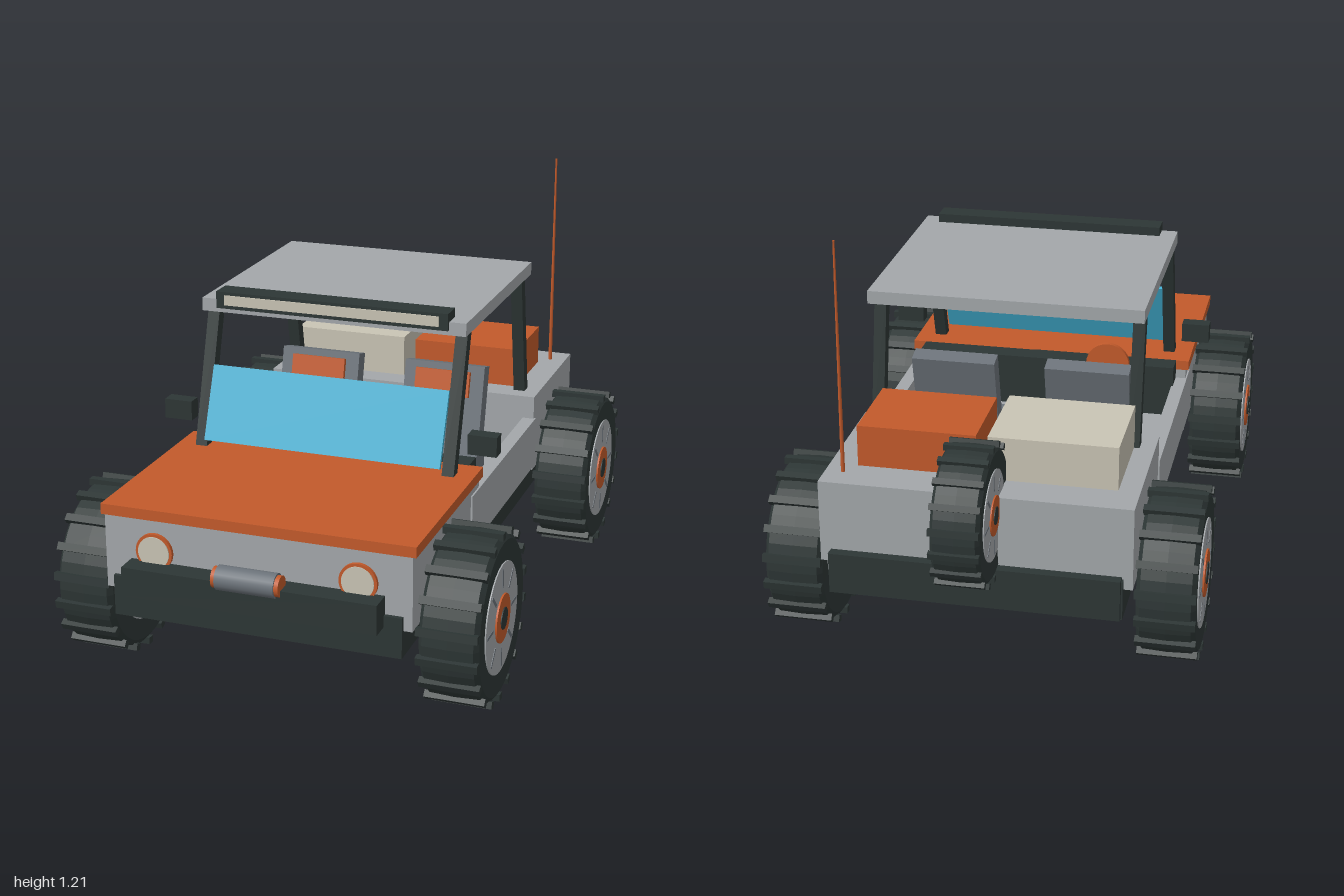
import * as THREE from 'three';

const mat = (name, color) => {
  const m = new THREE.MeshStandardMaterial({ color });
  m.name = name;
  return m;
};

export function createModel() {
  const grey = mat('body grey', 0xa3a7aa);
  const orange = mat('orange', 0xc25a2b);
  const dark = mat('dark rubber', 0x2d3635);
  const steel = mat('steel', 0x6c737a);
  const cream = mat('cream', 0xc9c4b4);
  const blue = mat('glass blue', 0x42afd2);

  const model = new THREE.Group();
  model.name = 'offRoadCar';

  const add = (parent, name, geometry, material, x = 0, y = 0, z = 0) => {
    const mesh = new THREE.Mesh(geometry, material);
    mesh.name = name;
    mesh.position.set(x, y, z);
    parent.add(mesh);
    return mesh;
  };
  // Box given by its limits on each axis
  const block = (name, material, x0, x1, y0, y1, z0, z1) =>
    add(model, name, new THREE.BoxGeometry(x1 - x0, y1 - y0, z1 - z0), material,
      (x0 + x1) / 2, (y0 + y1) / 2, (z0 + z1) / 2);
  // Slanted box running between two points of the side profile
  const slanted = (name, material, x, width, depth, [z0, y0], [z1, y1]) => {
    const length = Math.hypot(z1 - z0, y1 - y0);
    const mesh = add(model, name, new THREE.BoxGeometry(width, length, depth), material,
      x, (y0 + y1) / 2, (z0 + z1) / 2);
    mesh.rotation.x = Math.atan2(z1 - z0, y1 - y0);
    return mesh;
  };
  // Cylinder lying along x
  const axle = (radius, width, sides = 32) =>
    new THREE.CylinderGeometry(radius, radius, width, sides).rotateZ(Math.PI / 2);

  // Chassis, skid plate and bumpers
  block('chassis', dark, -0.41, 0.41, 0.215, 0.33, -0.77, 0.925);
  block('skidPlate', steel, -0.288, 0.288, 0.185, 0.216, -0.68, 0.8);
  block('frontBumper', dark, -0.36, 0.36, 0.298, 0.382, 0.91, 0.978);
  block('rearBumper', dark, -0.405, 0.405, 0.218, 0.337, -0.785, -0.754);

  // Body
  block('frontBody', grey, -0.435, 0.435, 0.29, 0.5, 0.32, 0.913);
  block('hood', orange, -0.445, 0.445, 0.5, 0.53, 0.315, 0.916);
  block('rearBody', grey, -0.435, 0.435, 0.3, 0.54, -0.755, -0.285);
  block('cabinFloor', grey, -0.4, 0.4, 0.325, 0.34, -0.29, 0.33);
  block('dashboard', dark, -0.405, 0.405, 0.37, 0.53, 0.25, 0.318);
  for (const s of [-1, 1]) {
    const door = block('door', grey, 0.4, 0.44, 0.315, 0.47, -0.295, 0.397);
    door.position.x *= s;
  }

  // Roof, posts and windscreen
  block('roof', grey, -0.395, 0.395, 0.912, 0.95, -0.36, 0.335);
  for (const s of [-1, 1]) {
    slanted('frontPost', dark, s * 0.373, 0.035, 0.035, [0.405, 0.52], [0.28, 0.925]);
    slanted('rearPost', dark, s * 0.373, 0.035, 0.035, [-0.355, 0.53], [-0.282, 0.925]);
    block('mirror', dark, s * 0.46 - 0.042, s * 0.46 + 0.042, 0.588, 0.646, 0.338, 0.382);
  }
  slanted('windscreen', blue, 0, 0.71, 0.012, [0.432, 0.553], [0.35, 0.757]);
  block('lightBar', dark, -0.346, 0.346, 0.927, 0.976, 0.28, 0.347);
  block('lightBarLens', cream, -0.32, 0.32, 0.938, 0.967, 0.346, 0.351);

  // Headlights
  for (const s of [-1, 1]) {
    const ring = new THREE.CylinderGeometry(0.053, 0.053, 0.014, 32).rotateX(Math.PI / 2);
    const lens = new THREE.CylinderGeometry(0.045, 0.045, 0.008, 32).rotateX(Math.PI / 2);
    add(model, 'headlightRing', ring, orange, s * 0.289, 0.412, 0.916);
    add(model, 'headlightLens', lens, cream, s * 0.289, 0.412, 0.922);
  }

  // Winch
  add(model, 'winchDrum', axle(0.034, 0.166, 20), steel, 0, 0.39, 0.965);
  for (const s of [-1, 1]) add(model, 'winchEnd', axle(0.029, 0.014, 20), orange, s * 0.088, 0.39, 0.965);

  // Seats and steering wheel
  for (const s of [-1, 1]) {
    block('seatCushion', steel, s * 0.2 - 0.125, s * 0.2 + 0.125, 0.34, 0.42, -0.12, 0.12);
    slanted('seatBack', steel, s * 0.2, 0.25, 0.052, [-0.06, 0.38], [-0.133, 0.675]);
    slanted('seatPad', orange, s * 0.2, 0.17, 0.014, [-0.072, 0.59], [-0.091, 0.665]);
  }
  const steering = new THREE.CylinderGeometry(0.068, 0.068, 0.015, 28).rotateX(Math.PI / 2);
  add(model, 'steeringWheel', steering, orange, -0.2, 0.533, 0.24);

  // Cargo and aerial
  block('orangeCrate', orange, 0.02, 0.355, 0.54, 0.66, -0.636, -0.37);
  block('creamCrate', cream, -0.375, -0.015, 0.54, 0.666, -0.648, -0.362);
  add(model, 'aerial', new THREE.CylinderGeometry(0.003, 0.006, 0.67, 8), orange, 0.385, 0.873, -0.68);

  // Wheels: lathed tyre, raised lugs, rim, spokes and hub on both faces
  const tyreProfile = [[0.15, -0.078], [0.215, -0.082], [0.231, -0.07], [0.234, 0],
    [0.231, 0.07], [0.215, 0.082], [0.15, 0.078]].map(([r, x]) => new THREE.Vector2(r, x));
  const tyre = new THREE.LatheGeometry(tyreProfile, 36).toNonIndexed().rotateZ(Math.PI / 2);
  tyre.computeVertexNormals();
  const makeWheel = (name, x, y, z, scale = 1) => {
    const wheel = new THREE.Group();
    wheel.name = name;
    wheel.position.set(x, y, z);
    wheel.scale.setScalar(scale);
    add(wheel, 'tyre', tyre, dark);
    for (let i = 0; i < 18; i++) {
      const a = (i / 18) * Math.PI * 2;
      const lug = add(wheel, 'lug', new THREE.BoxGeometry(0.168, 0.02, 0.022), dark,
        0, Math.cos(a) * 0.235, Math.sin(a) * 0.235);
      lug.rotation.x = a;
    }
    add(wheel, 'rim', axle(0.155, 0.164), grey);
    for (let i = 0; i < 8; i++) {
      const a = (i / 8) * Math.PI * 2;
      const spoke = add(wheel, 'spoke', new THREE.BoxGeometry(0.167, 0.055, 0.009), steel,
        0, Math.cos(a) * 0.115, Math.sin(a) * 0.115);
      spoke.rotation.x = a;
    }
    add(wheel, 'hub', axle(0.068, 0.174, 24), orange);
    add(wheel, 'hubCap', axle(0.031, 0.18, 12), dark);
    model.add(wheel);
  };
  for (const s of [-1, 1]) {
    makeWheel('frontWheel', s * 0.522, 0.245, 0.662);
    makeWheel('rearWheel', s * 0.522, 0.245, -0.518);
  }
  makeWheel('spareWheel', 0, 0.51, -0.8, 0.81);

  return model;
}
